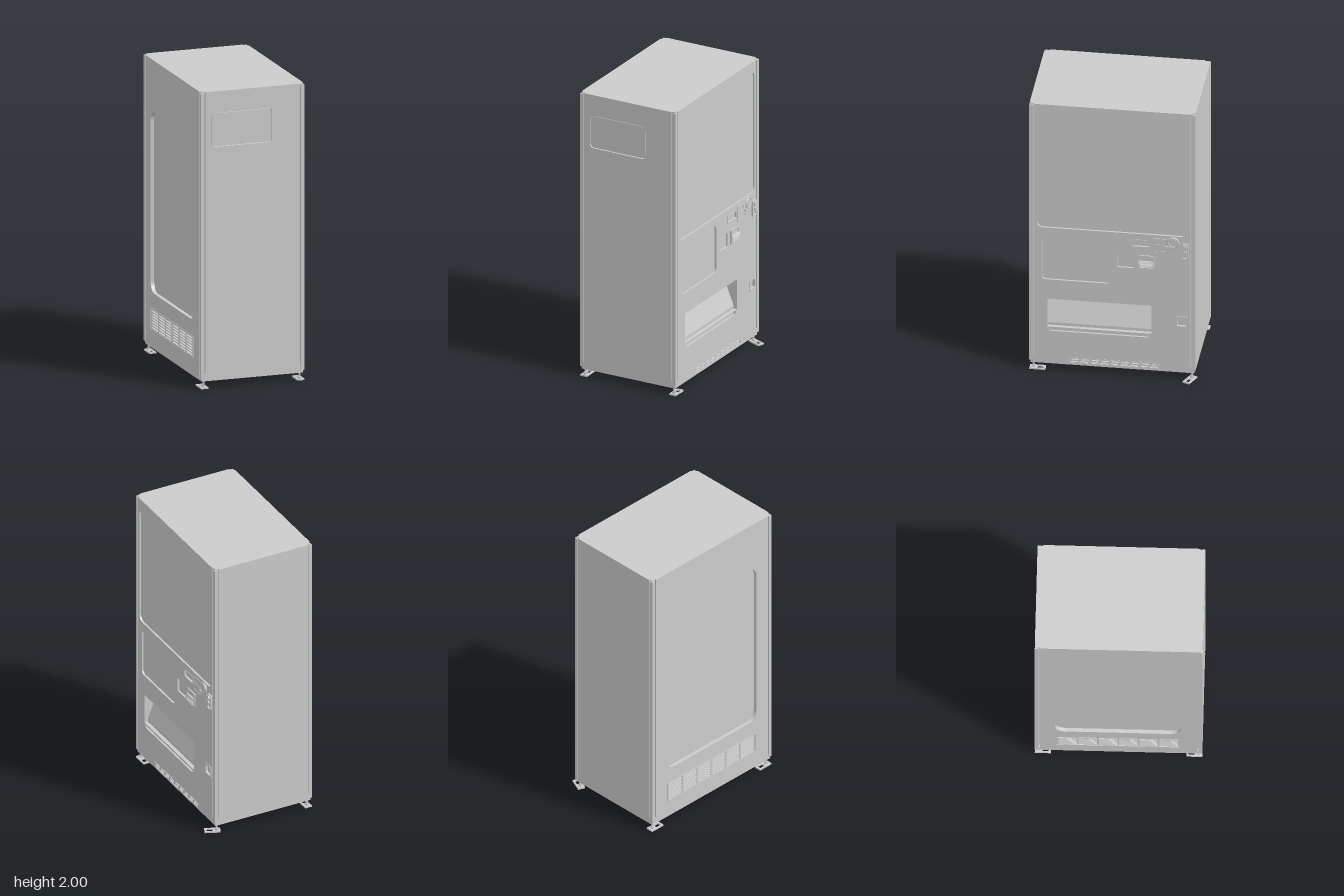
import * as THREE from 'three';

const mat = new THREE.MeshStandardMaterial({ color: 0xcccccc, side: THREE.DoubleSide });

// Rounded rectangle outline (r = 0 gives square corners)
function outline(x0, x1, y0, y1, r = 0, path = new THREE.Path()) {
  if (!r) {
    return path.moveTo(x0, y0).lineTo(x1, y0).lineTo(x1, y1).lineTo(x0, y1).closePath();
  }
  path.moveTo(x0 + r, y0).lineTo(x1 - r, y0);
  path.absarc(x1 - r, y0 + r, r, -Math.PI / 2, 0);
  path.absarc(x1 - r, y1 - r, r, 0, Math.PI / 2);
  path.absarc(x0 + r, y1 - r, r, Math.PI / 2, Math.PI);
  path.absarc(x0 + r, y0 + r, r, Math.PI, Math.PI * 1.5);
  return path;
}

function add(parent, name, geometry, x = 0, y = 0, z = 0) {
  const mesh = new THREE.Mesh(geometry, mat);
  mesh.name = name;
  mesh.position.set(x, y, z);
  parent.add(mesh);
  return mesh;
}

// Box given by its limits
function block(parent, name, x0, x1, y0, y1, z0, z1) {
  return add(parent, name, new THREE.BoxGeometry(x1 - x0, y1 - y0, z1 - z0),
    (x0 + x1) / 2, (y0 + y1) / 2, (z0 + z1) / 2);
}

// Sheet with holes, reaching from z0 to z1
function sheet(parent, name, [x0, x1, y0, y1, r], holes, z0, z1) {
  const shape = outline(x0, x1, y0, y1, r, new THREE.Shape());
  shape.holes = holes.map(h => (Array.isArray(h) ? outline(...h) : h));
  const geometry = new THREE.ExtrudeGeometry(shape, { depth: z1 - z0, bevelEnabled: false, curveSegments: 8 });
  return add(parent, name, geometry, 0, 0, z0);
}

// Side of the cabinet: local x runs across it, local z points outward
function side(parent, name, angle) {
  const g = new THREE.Group();
  g.name = name;
  g.rotation.y = angle;
  parent.add(g);
  return g;
}

function slanted(x, y, w, h, lean) {
  return new THREE.Path().moveTo(x, y).lineTo(x + w, y).lineTo(x + w + lean, y + h).lineTo(x + lean, y + h).closePath();
}

function buildSalesFace(root) {
  const g = side(root, 'salesFace', Math.PI / 2);
  const slot = [-0.45, 0.235, 0.33, 0.54];
  const vents = [];
  for (let row = 0; row < 2; row++) {
    for (let i = 0; i < 9; i++) vents.push(slanted(-0.3 + row * 0.008 + i * 0.066, 0.076 + row * 0.017, 0.05, 0.011, 0.006));
  }
  sheet(g, 'frontSkin', [-0.538, 0.49, 0.07, 2], [
    [-0.52, 0.47, 1.075, 1.92, 0.04], [-0.485, -0.035, 0.685, 1.015, 0.025],
    slot, [-0.435, 0.215, 0.3, 0.325], [0.01, 0.115, 0.815, 0.91],
    [0.11, 0.225, 0.98, 1.027], [0.405, 0.465, 0.405, 0.465, 0.006], ...vents,
  ], 0.337, 0.35);
  sheet(g, 'frontBacking', [-0.55, 0.505, 0.05, 1.99], [slot], 0.23, 0.337);

  // Sloped chute inside the delivery slot
  const chute = new THREE.Shape().moveTo(0.23, 0.33).lineTo(0.325, 0.33).lineTo(0.325, 0.35).lineTo(0.25, 0.54).lineTo(0.23, 0.54);
  const chuteMesh = add(g, 'deliveryChute', new THREE.ExtrudeGeometry(chute, { depth: 0.685, bevelEnabled: false }), 0.235, 0, 0);
  chuteMesh.rotation.y = -Math.PI / 2;

  // Trapezoid frame round the lower vents
  const frame = new THREE.Shape().moveTo(-0.325, 0.07).lineTo(0.29, 0.07).lineTo(0.27, 0.11).lineTo(-0.308, 0.11);
  frame.holes = [new THREE.Path().moveTo(-0.313, 0.074).lineTo(0.278, 0.074).lineTo(0.263, 0.106).lineTo(-0.302, 0.106)];
  add(g, 'ventFrame', new THREE.ExtrudeGeometry(frame, { depth: 0.003, bevelEnabled: false }), 0, 0, 0.349);

  // Coin plate with dial and button outline
  sheet(g, 'coinPlate', [0.245, 0.405, 0.935, 1.05, 0.008], [
    [0.262, 0.335, 0.955, 0.972, 0.005], [0.262, 0.325, 1.005, 1.032, 0.008],
  ], 0.35, 0.354);
  add(g, 'coinDial', new THREE.TorusGeometry(0.034, 0.007, 8, 24), 0.38, 1.03, 0.356);
  const dial = add(g, 'coinDialCap', new THREE.CylinderGeometry(0.027, 0.027, 0.014, 24), 0.38, 1.03, 0.355);
  dial.rotation.x = Math.PI / 2;
  block(g, 'returnLever', 0.33, 0.365, 0.985, 1.0, 0.35, 0.364);
  sheet(g, 'displayFrame', [0.105, 0.23, 0.975, 1.032], [[0.112, 0.223, 0.982, 1.025]], 0.349, 0.353);

  // Note reader with an overhanging mouth
  sheet(g, 'noteReader', [0.148, 0.255, 0.815, 0.917, 0.006], [
    [0.16, 0.243, 0.872, 0.902, 0.008], [0.158, 0.245, 0.825, 0.855],
  ], 0.35, 0.358);
  const mouth = new THREE.Shape().moveTo(0.35, 0.86).lineTo(0.368, 0.86).lineTo(0.36, 0.875).lineTo(0.35, 0.875);
  add(g, 'noteMouth', new THREE.ExtrudeGeometry(mouth, { depth: 0.1, bevelEnabled: false }), 0.252, 0, 0).rotation.y = -Math.PI / 2;
  for (let i = 0; i < 3; i++) block(g, 'noteReaderRib', 0.16, 0.243, 0.828 + i * 0.009, 0.832 + i * 0.009, 0.35, 0.368);

  // Door lock
  sheet(g, 'lockPlate', [0.43, 0.483, 0.91, 1.027, 0.015], [[0.44, 0.473, 0.918, 0.945, 0.01]], 0.35, 0.36);
  for (const [y, r] of [[1.0, 0.018], [0.965, 0.014]]) {
    add(g, 'lockBarrel', new THREE.CylinderGeometry(r, r, 0.02, 20), 0.457, y, 0.36).rotation.x = Math.PI / 2;
  }
  sheet(g, 'coinReturnFrame', [0.395, 0.475, 0.393, 0.477, 0.01], [[0.405, 0.465, 0.405, 0.465, 0.006]], 0.349, 0.355);
}

function buildRearFace(root) {
  const g = side(root, 'rearFace', -Math.PI / 2);
  const grill = [];
  for (let row = 0; row < 7; row++) {
    for (let col = 0; col < 6; col++) {
      const x = -0.37 + col * 0.132, y = 0.19 + row * 0.0185;
      grill.push([x, x + 0.12, y, y + 0.011]);
    }
  }
  sheet(g, 'rearSkin', [-0.49, 0.538, 0.07, 2], [[-0.39, 0.43, 0.43, 1.65, 0.07], ...grill], 0.345, 0.37);
  sheet(g, 'rearGrillFrame', [-0.39, 0.43, 0.178, 0.324], [[-0.383, 0.423, 0.185, 0.317]], 0.369, 0.373);
}

// Levelling foot: bracket, threaded rod and slotted floor plate
function buildFoot(root, sx, sz, turn) {
  const g = new THREE.Group();
  g.name = 'foot';
  g.position.set(sx > 0 ? 0.325 : -0.343, 0, sz > 0 ? 0.545 : -0.5);
  add(g, 'footBracket', new THREE.BoxGeometry(0.056, 0.032, 0.056), -sx * 0.004, 0.086, -sz * 0.004);
  add(g, 'footRod', new THREE.CylinderGeometry(0.007, 0.007, 0.08, 12), 0, 0.044, 0);
  add(g, 'footNut', new THREE.CylinderGeometry(0.014, 0.014, 0.01, 6), 0, 0.016, 0);
  const plate = new THREE.Group();
  plate.rotation.y = turn;
  plate.name = 'footPlate';
  const mesh = sheet(plate, 'floorPlate', [-0.025, 0.025, -0.08, 0.025], [[-0.014, 0.014, -0.066, -0.026, 0.004]], 0, 0.01);
  mesh.rotation.x = -Math.PI / 2;
  g.add(plate);
  root.add(g);
}

export function createModel() {
  const root = new THREE.Group();
  root.name = 'vendingMachine';

  // Cabinet core, base skirt and roof
  block(root, 'cabinetCore', -0.345, 0.23, 0.05, 1.985, -0.505, 0.55);
  block(root, 'baseSkirt', -0.362, 0.342, 0.05, 0.072, -0.517, 0.562);
  block(root, 'roof', -0.362, 0.342, 1.98, 2, -0.517, 0.562);

  // Corner posts, separated from the skins by narrow grooves
  for (const x of [-0.37, 0.324]) {
    for (const z of [-0.525, 0.544]) block(root, 'cornerPost', x, x + 0.026, 0.07, 1.992, z, z + 0.026);
  }

  buildSalesFace(root);
  buildRearFace(root);

  // Plain flanks, one with a shallow label recess
  const labelled = side(root, 'labelFlank', 0);
  sheet(labelled, 'flankSkin', [-0.339, 0.319, 0.07, 2], [[-0.295, 0.125, 1.625, 1.855, 0.03]], 0.55, 0.57);
  sheet(labelled, 'labelPlate', [-0.291, 0.121, 1.629, 1.851, 0.027], [], 0.55, 0.566);
  const plain = side(root, 'plainFlank', Math.PI);
  sheet(plain, 'flankSkin', [-0.319, 0.339, 0.07, 2], [], 0.505, 0.525);

  buildFoot(root, -1, 1, Math.PI);
  buildFoot(root, 1, 1, Math.PI);
  buildFoot(root, -1, -1, 0);
  buildFoot(root, 1, -1, -Math.PI * 0.63 + Math.PI);
  return root;
}
